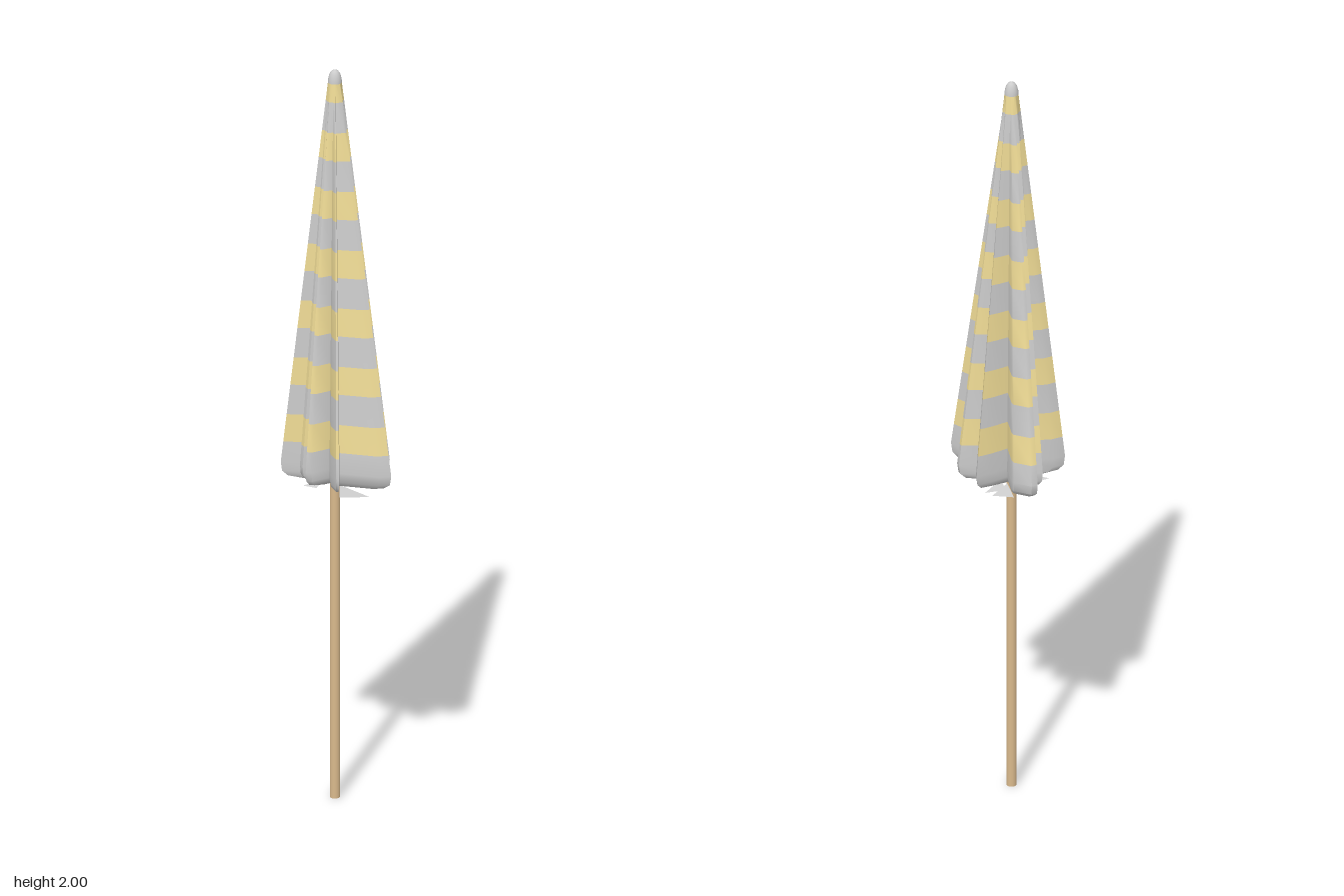
import * as THREE from 'three';
import { toCreasedNormals } from 'three/addons/utils/BufferGeometryUtils.js';

const AXIS = { x: -0.02, z: 0.003 };
const TOP = 1.965, BASE = 0.925, CAP_R = 0.018;

// Gathered cloth outline at its widest: [x, z] round the pole, tips and valleys
const FOLDS = [
  [0.105, -0.058], [0.112, -0.047], [0.06, -0.015], [0.02, -0.002],
  [0.117, 0.033], [0.112, 0.043], [0.153, 0.07], [0.125, 0.085], [0.02, 0.09],
  [0.034, 0.138], [0.027, 0.14], [0.0, 0.105], [-0.015, 0.065],
  [-0.05, 0.108], [-0.065, 0.11], [-0.065, 0.085], [-0.052, 0.055],
  [-0.085, 0.072], [-0.096, 0.06], [-0.065, 0.032],
  [-0.15, 0.053], [-0.125, 0.03], [-0.06, 0.008],
  [-0.095, 0.0], [-0.07, -0.015],
  [-0.115, -0.058], [-0.1, -0.062], [-0.062, -0.045],
  [-0.118, -0.135], [-0.105, -0.145], [-0.055, -0.133], [-0.047, -0.122], [-0.02, -0.05],
  [0.015, -0.09], [0.046, -0.117], [0.05, -0.105], [0.035, -0.065], [0.015, -0.028],
  [0.05, -0.047],
];

// One closed ring of cloth at height y; "tuck" pulls the hem inwards
function ring(y, tuck = 1) {
  const t = Math.min(1, (TOP - y) / (TOP - BASE));
  return FOLDS.map(([fx, fz]) => {
    const dx = fx - AXIS.x, dz = fz - AXIS.z, r = Math.hypot(dx, dz);
    const s = tuck * (CAP_R + t * (r - CAP_R)) / r;
    return [AXIS.x + dx * s, y, AXIS.z + dz * s];
  });
}

function loft(rings) {
  const n = FOLDS.length, index = [];
  for (let j = 0; j < rings.length - 1; j++) {
    for (let i = 0; i < n; i++) {
      const a = j * n + i, b = j * n + (i + 1) % n;
      index.push(a, a + n, b, b, a + n, b + n);
    }
  }
  const g = new THREE.BufferGeometry();
  g.setAttribute('position', new THREE.Float32BufferAttribute(rings.flat(2), 3));
  g.setIndex(index);
  return toCreasedNormals(g, 0.9);
}

export function createModel() {
  const group = new THREE.Group();
  const grey = new THREE.MeshStandardMaterial({ color: 0xcccccc, side: THREE.DoubleSide });
  const yellow = new THREE.MeshStandardMaterial({ color: 0xf0dc96, side: THREE.DoubleSide });
  const wood = new THREE.MeshStandardMaterial({ color: 0xd9b98c });
  const add = (name, geometry, material) => {
    const mesh = new THREE.Mesh(geometry, material);
    mesh.name = name;
    group.add(mesh);
    return mesh;
  };

  // Pole
  add('pole', new THREE.CylinderGeometry(0.013, 0.013, 1.92, 16), wood)
    .position.set(AXIS.x, 0.96, AXIS.z);

  // Rounded cap
  const cap = [[0.018, 0], [0.0175, 0.01], [0.014, 0.024], [0.008, 0.032], [0, 0.035]];
  add('cap', new THREE.LatheGeometry(cap.map(p => new THREE.Vector2(...p)), 20), grey)
    .position.set(AXIS.x, TOP, AXIS.z);

  // Alternating stripes of folded cloth
  const first = 0.98, pitch = 0.156, band = 0.075;
  for (let k = 0; k < 7; k++) {
    const y0 = first + k * pitch, y1 = Math.min(TOP, y0 + band);
    const y2 = Math.min(TOP, y0 + pitch);
    add('yellowStripe', loft([ring(y1), ring(y0)]), yellow);
    if (y2 > y1) add('greyStripe', loft([ring(y2), ring(y1)]), grey);
  }

  // Hem curling in under the cloth
  add('hem', loft([ring(first), ring(BASE), ring(0.9, 0.975),
    ring(0.887, 0.87), ring(0.879, 0.6), ring(0.874, 0.42)]), grey);

  // Loose corners of cloth hanging between the folds
  const flaps = [
    [-0.05, -0.108, 0.008, -0.102, -0.02, -0.05],
    [0.03, 0.122, 0.1, 0.085, 0.01, 0.06],
    [-0.115, 0.022, -0.075, -0.01, -0.05, 0.02],
    [-0.02, -0.07, 0.03, -0.09, 0.0, -0.03],
    [-0.085, 0.068, -0.05, 0.065, -0.04, 0.03],
  ];
  for (const [ax, az, bx, bz, cx, cz] of flaps) {
    const g = new THREE.BufferGeometry();
    g.setAttribute('position', new THREE.Float32BufferAttribute(
      [ax, 0.872, az, cx, 0.882, cz, bx, 0.868, bz], 3));
    g.computeVertexNormals();
    add('hemFlap', g, grey);
  }
  return group;
}
